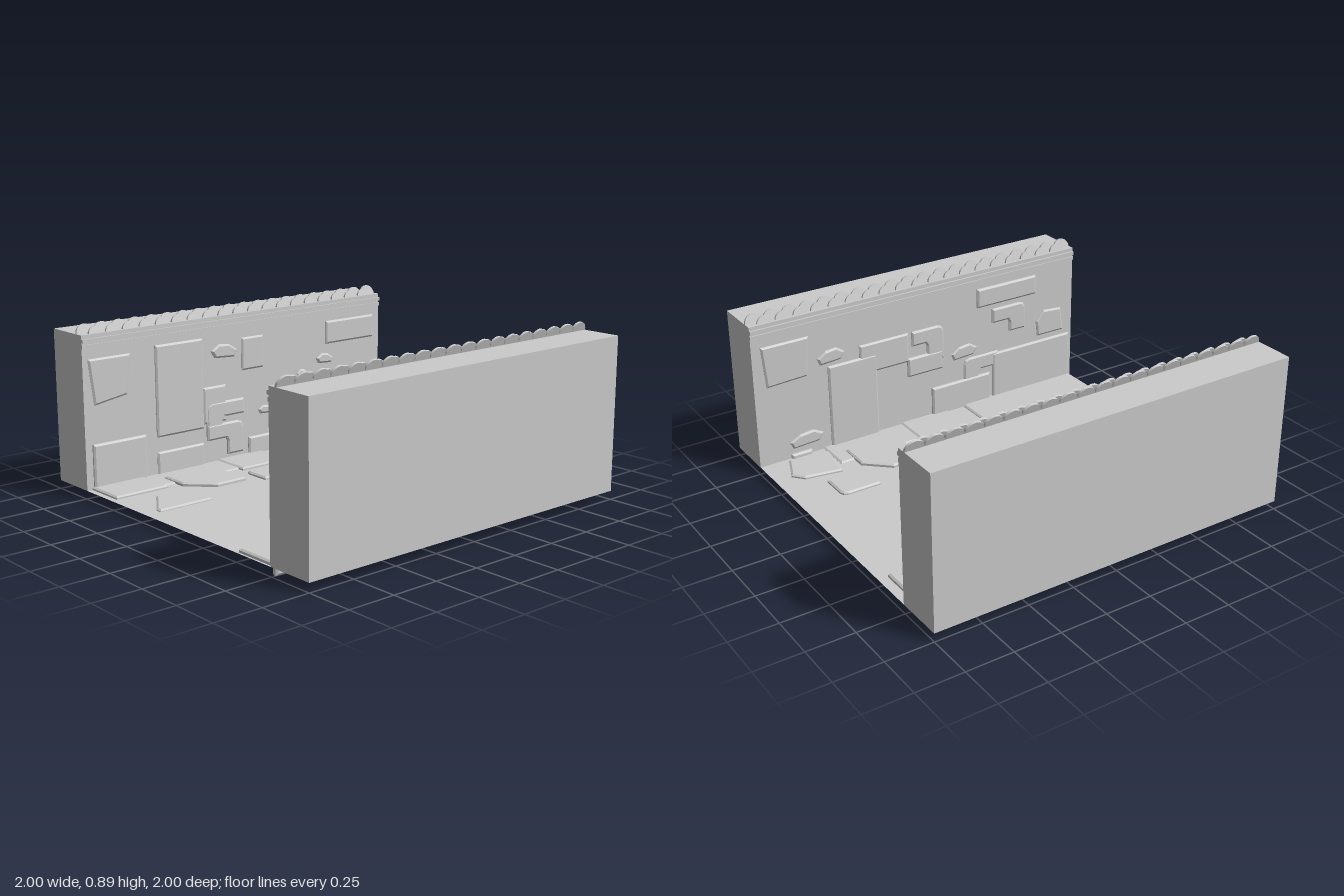
import * as THREE from 'three';

const grey = new THREE.MeshStandardMaterial({ color: 0xcccccc, flatShading: true, side: THREE.DoubleSide });
const FLOOR = 0.045, TOP = 0.845, FACE = 0.74;

// outline helpers
const rect = (x0, y0, x1, y1) => [[x0, y0], [x1, y0], [x1, y1], [x0, y1]];
const pebble = (x, y, w, h) => [[-0.5, 0.1], [-0.2, 0.5], [0.2, 0.4], [0.5, 0], [0.4, -0.5], [-0.35, -0.4]]
  .map(([a, b]) => [x + a * w, y + b * h]);
// rounded elbow with its outer corner at (x, y); sx and sy point along the arms
const elbow = (x, y, sx, sy, w = 0.22, h = 0.17, t = 0.085) =>
  [[0.035, 0], [w, 0], [w, t], [t + 0.03, t], [t + 0.02, t + 0.02], [t + 0.02, h], [0, h], [0, 0.035], [0.01, 0.01]]
    .map(([a, b]) => [x + sx * a, y + sy * b]);

function mesh(name, geometry, parent) {
  const m = new THREE.Mesh(geometry, grey);
  m.name = name;
  parent.add(m);
  return m;
}

// bevelled slab, its outer surface at z = 0 and its thickness behind it
function slab(points, thickness) {
  const shape = new THREE.Shape(points.map(([x, y]) => new THREE.Vector2(x, y)));
  const b = 0.007;
  const g = new THREE.ExtrudeGeometry(shape, {
    depth: thickness - 2 * b, bevelEnabled: true, bevelThickness: b,
    bevelSize: 0.01, bevelOffset: -0.01, bevelSegments: 1
  });
  return g.translate(0, 0, b - thickness);
}

// floor slabs: [outline in x/z, top height]
const floorStones = [
  [rect(-0.97, -0.75, -0.66, -0.515), 0.06],
  [[[-0.59, -0.65], [-0.28, -0.65], [-0.28, -0.36], [-0.46, -0.36], [-0.59, -0.49]], 0.064],
  [rect(-0.67, -0.75, -0.17, -0.55), 0.053],
  [rect(-0.18, -0.75, 0.12, -0.515), 0.06],
  [rect(0, -0.75, 0.27, -0.415), 0.053],
  [rect(0.21, -0.75, 0.95, -0.51), 0.064],
  [elbow(-0.2, -0.47, 1, 1), 0.06],
  [[[-0.92, -0.205], [-0.92, -0.24], [-0.8, -0.42], [-0.59, -0.37], [-0.61, -0.205]], 0.056],
  [[[0.4, -0.47], [0.48, -0.47], [0.5, -0.44], [0.56, -0.45], [0.56, -0.42], [0.52, -0.39], [0.42, -0.39], [0.4, -0.4]], 0.05],
  [[[-0.4, 0.035], [-0.06, 0.11], [-0.11, 0.27], [-0.46, 0.2]], 0.056],
  [elbow(0.78, 0.24, -1, 1), 0.06],
  [elbow(0.16, 0.46, -1, -1), 0.062],
  [rect(-0.31, 0.41, -0.03, 0.75), 0.053],
  [rect(-0.99, 0.505, -0.25, 0.75), 0.064],
  [rect(-0.15, 0.515, 0.15, 0.75), 0.06],
  [[[0.24, 0.35], [0.42, 0.35], [0.55, 0.47], [0.55, 0.64], [0.24, 0.64]], 0.064],
  [rect(0.14, 0.54, 0.63, 0.75), 0.053],
  [[[0.66, 0.465], [0.86, 0.5], [0.91, 0.56], [0.85, 0.71], [0.63, 0.69]], 0.06],
  [[[-0.53, 0.34], [-0.42, 0.41], [-0.42, 0.51], [-0.69, 0.51], [-0.66, 0.43]], 0.054]
];

// wall slabs: outlines in x/y
const backStones = [
  [[-0.97, 0.72], [-0.72, 0.72], [-0.745, 0.51], [-0.94, 0.48]],
  rect(-0.57, 0.25, -0.27, 0.74),
  pebble(-0.13, 0.655, 0.17, 0.08),
  rect(-0.01, 0.53, 0.14, 0.71),
  rect(0.59, 0.6, 0.95, 0.73),
  rect(-0.96, 0.02, -0.64, 0.28),
  rect(-0.27, 0.27, -0.12, 0.47),
  elbow(-0.25, 0.38, 1, -1, 0.25, 0.17),
  elbow(-0.01, 0.26, -1, -1, 0.24, 0.18),
  rect(-0.57, 0.02, -0.27, 0.17),
  pebble(0.15, 0.29, 0.1, 0.05),
  pebble(0.58, 0.52, 0.12, 0.06),
  pebble(0.42, 0.45, 0.08, 0.06),
  rect(0.03, 0.02, 0.28, 0.15),
  [[0.32, 0.02], [0.35, 0.18], [0.47, 0.37], [0.86, 0.39], [0.95, 0.06], [0.95, 0.02]]
];
const frontStones = [
  [[0.95, 0.72], [0.68, 0.72], [0.7, 0.5], [0.93, 0.49]],
  rect(0.29, 0.005, 0.58, 0.52),
  pebble(0.56, 0.58, 0.16, 0.08),
  rect(0.09, 0.42, 0.39, 0.59),
  elbow(-0.13, 0.59, 1, -1, 0.2, 0.2),
  rect(-0.12, 0.33, 0.1, 0.44),
  pebble(-0.265, 0.39, 0.17, 0.08),
  elbow(-0.67, 0.6, 1, -1, 0.22, 0.16),
  rect(-0.74, 0.63, -0.35, 0.74),
  [[-0.75, 0.45], [-0.8, 0.51], [-0.92, 0.5], [-0.94, 0.36], [-0.76, 0.36]],
  rect(-0.98, 0, -0.45, 0.33),
  rect(-0.43, 0, -0.05, 0.22),
  elbow(-0.26, 0.34, -1, -1, 0.23, 0.2),
  pebble(0.725, 0.14, 0.2, 0.08),
  rect(0.7, 0.005, 0.82, 0.07)
];

// wall in back position: inner face towards +z; turned half round for the front
function wall(name, stones) {
  const g = new THREE.Group();
  g.name = name;

  // hollow block, open underneath
  const block = new THREE.BoxGeometry(2, TOP - FLOOR, 1 - FACE);
  const index = [...block.index.array];
  index.splice(18, 6);
  block.setIndex(index);
  block.clearGroups();
  block.translate(0, (TOP + FLOOR) / 2, -(1 + FACE) / 2);
  mesh('wallBlock', block, g);

  stones.forEach((p, i) =>
    mesh('wallStone', slab(p, 0.03).translate(0, 0, -FACE + 0.009 + (i % 3) * 0.003), g));

  // stepped cornice under the tiles
  [[0.785, 0.02, 0.006], [0.815, 0.02, 0.011]].forEach(([y, h, out]) =>
    mesh('cornice', new THREE.BoxGeometry(2, h, 0.02), g).position.set(0, y, -FACE + out - 0.01));

  // two staggered rows of rounded roof tiles leaning back
  [[-0.79, 0.842, 0.05, 20, 0], [-0.762, 0.832, 0.048, 19, 0.05]].forEach(([z, y, r, n, shift]) => {
    const scale = new THREE.Shape();
    scale.moveTo(-r, -0.02);
    scale.lineTo(r, -0.02);
    scale.lineTo(r, 0);
    scale.absarc(0, 0, r, 0, Math.PI, false);
    const tile = new THREE.ExtrudeGeometry(scale, { depth: 0.012, bevelEnabled: false, curveSegments: 8 });
    tile.rotateX(-0.3);
    for (let i = 0; i < n; i++)
      mesh('roofTile', tile, g).position.set(-0.95 + shift + i * 0.1, y, z);
  });
  return g;
}

export function createModel() {
  const model = new THREE.Group();
  model.name = 'street';

  // floor and paving
  const floor = new THREE.PlaneGeometry(2, 2 * FACE).rotateX(-Math.PI / 2);
  mesh('floor', floor, model).position.y = FLOOR;
  for (const [points, top] of floorStones) {
    const g = slab(points, 0.026).rotateX(Math.PI / 2);
    // the turned slab rises from its outer face, so lift it by its own bounds
    g.computeBoundingBox();
    mesh('pavingStone', g.translate(0, top - g.boundingBox.max.y, 0), model);
  }

  // facing walls
  model.add(wall('backWall', backStones));
  const front = wall('frontWall', frontStones.map(s => s.map(([x, y]) => [-x, y])));
  front.rotation.y = Math.PI;
  model.add(front);
  return model;
}
